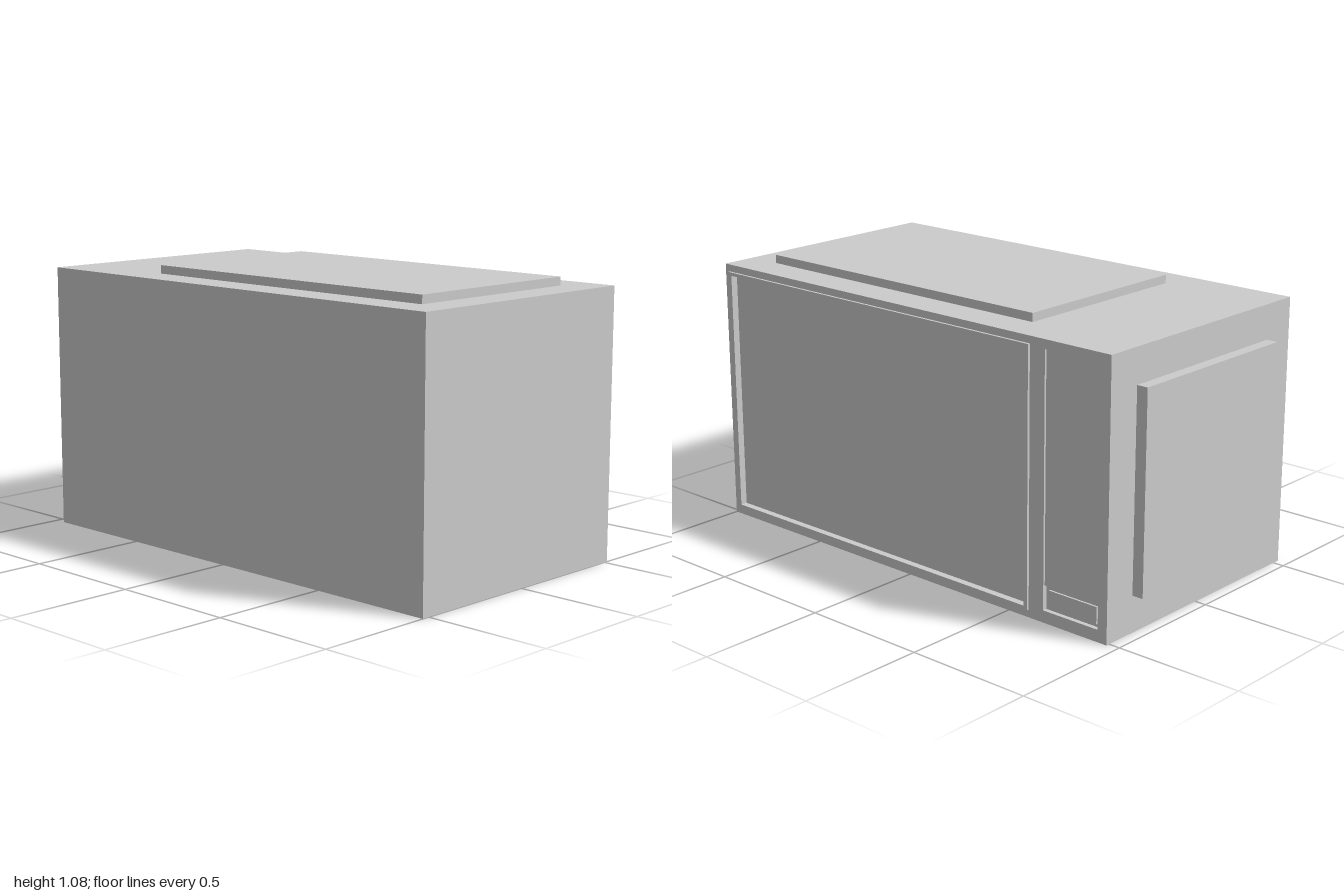
import * as THREE from 'three';

export function createModel() {
  const group = new THREE.Group();
  group.name = 'microwaveOven';
  const material = new THREE.MeshStandardMaterial({ color: 0xcccccc, flatShading: true });

  const add = (name, geometry) => {
    const mesh = new THREE.Mesh(geometry, material);
    mesh.name = name;
    group.add(mesh);
  };

  // Box given by its limits on each axis
  const block = (name, [x0, x1], [y0, y1], [z0, z1]) => add(name,
    new THREE.BoxGeometry(x1 - x0, y1 - y0, z1 - z0)
      .translate((x0 + x1) / 2, (y0 + y1) / 2, (z0 + z1) / 2));

  // Rectangle on the door side, as [z range, y range]
  const rect = ([[z0, z1], [y0, y1]], Type = THREE.Shape) => new Type([
    new THREE.Vector2(-z1, y0), new THREE.Vector2(-z0, y0),
    new THREE.Vector2(-z0, y1), new THREE.Vector2(-z1, y1),
  ]);

  // Plate with rectangular openings, extruded along +x
  const plate = (name, outer, holes, x0, x1) => {
    const shape = rect(outer);
    shape.holes = holes.map((h) => rect(h, THREE.Path));
    add(name, new THREE.ExtrudeGeometry(shape, { depth: x1 - x0, bevelEnabled: false })
      .rotateY(Math.PI / 2).translate(x0, 0, 0));
  };

  const back = -0.955, floor = 0.497, side = 0.515, top = 1.045;
  const door = [[-0.597, 0.975], [0.03, 1.017]];
  const glass = [[-0.582, 0.957], [0.044, 1.004]];
  const controls = [[-0.915, -0.665], [0.047, 1.01]];

  // Housing and its door-side fascia
  block('housing', [-0.53, floor], [0, top], [back, 1]);
  plate('fascia', [[back, 1], [0, top]], [door, controls], floor, side);

  // Raised door frame around the sunken window (window is the housing behind it)
  plate('doorFrame', door, [glass], floor, 0.525);

  // Control panel, with the door button in the pocket below it
  block('controlPanel', [floor, 0.507], [0.14, 1.01], [-0.915, -0.665]);
  block('doorButton', [floor, 0.505], [0.06, 0.125], [-0.9, -0.682]);

  // Raised panels on the top and the back
  block('topPanel', [-0.39, 0.375], [top, 1.078], [-0.487, 0.86]);
  block('backPanel', [-0.39, 0.375], [0.142, 0.91], [-1, back]);

  return group;
}
